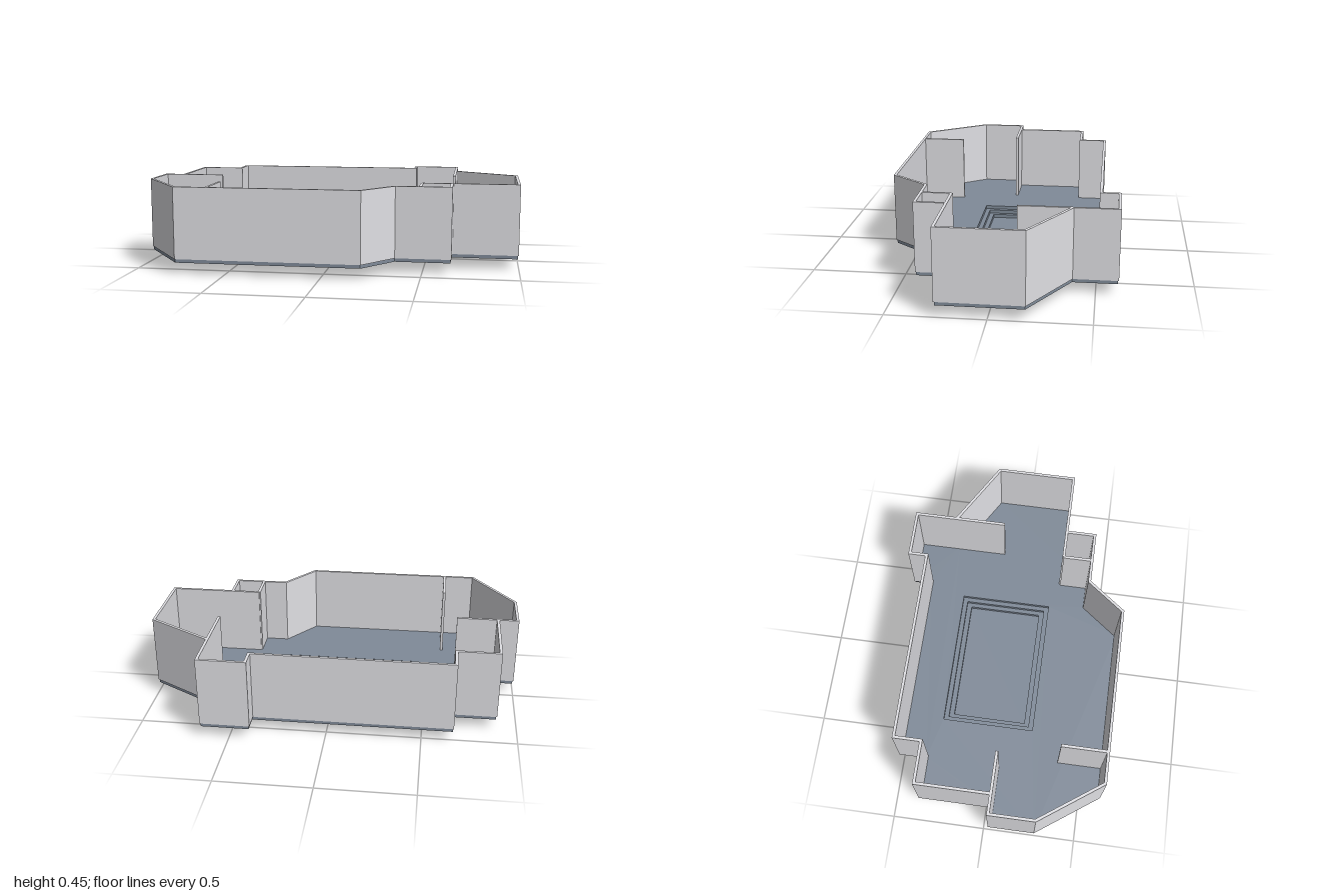
import * as THREE from 'three';

const FLOOR_BOTTOM = 0.059, FLOOR_TOP = 0.078, WALL_TOP = 0.454;
const HALF = 0.0075; // half the wall thickness
const STEP_HEIGHT = FLOOR_BOTTOM / 3;

// Plan of the building as [x, z] corners along the wall centre line
const PLAN = [
  [-0.66, -0.512], [0.395, -0.512], [0.395, -0.608], [0.644, -0.608], [0.644, -0.38],
  [0.99, -0.178], [0.99, 0.25], [0.644, 0.25], [0.644, 0.409], [0.356, 0.409],
  [0.204, 0.608], [-0.756, 0.608], [-0.992, 0.276], [-0.992, 0.033], [-0.886, 0.033],
  [-0.886, -0.366], [-0.66, -0.366],
];

// Inner partitions as [x1, z1, x2, z2]
const PARTITIONS = [
  [0.644, -0.38, 0.644, -0.104],
  [-0.886, 0.033, -0.662, 0.033],
  [-0.588, 0.36, -0.588, 0.608],
  [0.487, 0.25, 0.644, 0.25],
  [0.487, 0.25, 0.487, 0.409],
];

// Rectangles of the sunken steps, from the outside in: [x1, z1, x2, z2]
const STEPS = [
  [-0.432, -0.308, 0.332, 0.198],
  [-0.408, -0.283, 0.308, 0.173],
  [-0.385, -0.256, 0.285, 0.147],
];

// Reversed so that outlines and holes run counter-clockwise
const toVectors = (points) => points.map(([x, z]) => new THREE.Vector2(x, -z)).reverse();
const rectangle = ([x1, z1, x2, z2]) => [[x1, z1], [x2, z1], [x2, z2], [x1, z2]];

// Moves a closed outline sideways by d with mitred corners
function offset(points, d) {
  const count = points.length;
  const normal = (a, b) => {
    const dx = b[0] - a[0], dz = b[1] - a[1], l = Math.hypot(dx, dz);
    return [dz / l, -dx / l];
  };
  return points.map((p, i) => {
    const n = normal(points[(i + count - 1) % count], p);
    const m = normal(p, points[(i + 1) % count]);
    const k = d / (1 + n[0] * m[0] + n[1] * m[1]);
    return [p[0] + k * (n[0] + m[0]), p[1] + k * (n[1] + m[1])];
  });
}

// Upright prism over a plan outline, with an optional hole
function slab(name, outline, hole, y0, y1, material) {
  const shape = new THREE.Shape(toVectors(outline));
  if (hole) shape.holes.push(new THREE.Path(toVectors(hole)));
  const geometry = new THREE.ExtrudeGeometry(shape, { depth: y1 - y0, bevelEnabled: false });
  geometry.rotateX(-Math.PI / 2).translate(0, y0, 0);
  const mesh = new THREE.Mesh(geometry, material);
  mesh.name = name;
  return mesh;
}

export function createModel() {
  const wallPaint = new THREE.MeshStandardMaterial({ color: 0xe0e0e4 });
  wallPaint.name = 'pale grey wall';
  const floorPaint = new THREE.MeshStandardMaterial({ color: 0x808b99 });
  floorPaint.name = 'slate floor';

  const model = new THREE.Group();
  model.name = 'floorPlan';

  // Floor with the opening of the pit, set back slightly under the walls
  model.add(slab('floor', offset(PLAN, HALF - 0.005), rectangle(STEPS[0]),
    FLOOR_BOTTOM, FLOOR_TOP, floorPaint));

  // Steps down into the pit; the last one is its solid bottom
  STEPS.forEach((step, i) => {
    const top = FLOOR_BOTTOM - i * STEP_HEIGHT;
    const next = STEPS[i + 1];
    model.add(slab(next ? 'pitStep' : 'pitBottom', rectangle(step), next && rectangle(next),
      top - STEP_HEIGHT, top, floorPaint));
  });

  // Outer wall around the whole plan
  model.add(slab('outerWall', offset(PLAN, HALF), offset(PLAN, -HALF), FLOOR_TOP, WALL_TOP, wallPaint));

  // Inner partitions
  for (const [x1, z1, x2, z2] of PARTITIONS) {
    const height = WALL_TOP - FLOOR_TOP;
    const wall = new THREE.Mesh(
      new THREE.BoxGeometry(Math.max(x2 - x1, 2 * HALF), height, Math.max(z2 - z1, 2 * HALF)), wallPaint);
    wall.position.set((x1 + x2) / 2, FLOOR_TOP + height / 2, (z1 + z2) / 2);
    wall.name = 'partition';
    model.add(wall);
  }
  return model;
}
